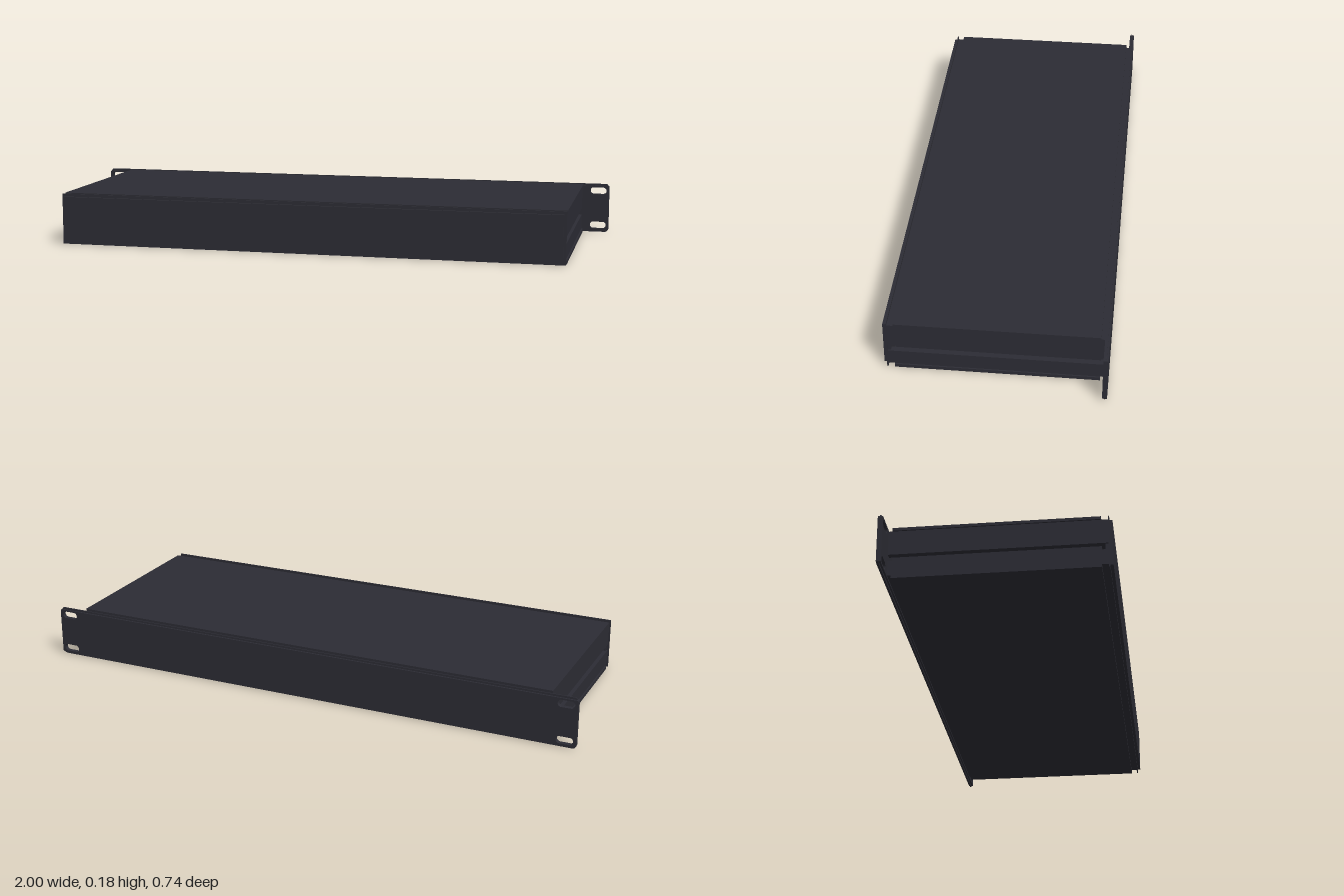
import * as THREE from 'three';

export function createModel() {
  const model = new THREE.Group();
  model.name = 'rackEnclosure';
  const metal = new THREE.MeshStandardMaterial({ color: 0x2c2c34 });
  metal.name = 'dark grey metal';

  function add(name, geometry) {
    const mesh = new THREE.Mesh(geometry, metal);
    mesh.name = name;
    model.add(mesh);
    return mesh;
  }

  // Box given by its extents on each axis
  function box(name, [x0, x1], [y0, y1], [z0, z1]) {
    add(name, new THREE.BoxGeometry(x1 - x0, y1 - y0, z1 - z0))
      .position.set((x0 + x1) / 2, (y0 + y1) / 2, (z0 + z1) / 2);
  }

  // Rounded rectangle outline, used for plates and mounting slots
  function roundedRect(path, x0, x1, y0, y1, r) {
    path.moveTo(x0 + r, y0);
    path.lineTo(x1 - r, y0);
    path.absarc(x1 - r, y0 + r, r, -Math.PI / 2, 0);
    path.lineTo(x1, y1 - r);
    path.absarc(x1 - r, y1 - r, r, 0, Math.PI / 2);
    path.lineTo(x0 + r, y1);
    path.absarc(x0 + r, y1 - r, r, Math.PI / 2, Math.PI);
    path.lineTo(x0, y0 + r);
    path.absarc(x0 + r, y0 + r, r, Math.PI, Math.PI * 1.5);
    return path;
  }

  // Rack panel with two slots in each ear
  function rackPanel(name, halfWidth, y0, y1, z0, z1, r) {
    const shape = roundedRect(new THREE.Shape(), -halfWidth, halfWidth, y0, y1, r);
    for (const side of [-1, 1]) {
      for (const y of [0.026, 0.157]) {
        const x = side * 0.96;
        shape.holes.push(roundedRect(new THREE.Path(), x - 0.03, x + 0.03, y - 0.013, y + 0.013, 0.0125));
      }
    }
    const geometry = new THREE.ExtrudeGeometry(shape, { depth: z1 - z0, bevelEnabled: false, curveSegments: 8 });
    add(name, geometry).position.z = z0;
  }

  // Top and bottom covers
  box('topCover', [-0.905, 0.905], [0.173, 0.183], [-0.341, 0.333]);
  box('bottomCover', [-0.905, 0.905], [0, 0.012], [-0.341, 0.333]);

  // Side profiles: two rails with a recessed groove between them
  for (const s of [-1, 1]) {
    const span = (a, b) => (s > 0 ? [a, b] : [-b, -a]);
    box('upperSideRail', span(0.88, 0.9), [0.088, 0.173], [-0.353, 0.357]);
    box('lowerSideRail', span(0.88, 0.9), [0.012, 0.065], [-0.353, 0.357]);
    box('sideGroove', span(0.87, 0.88), [0.055, 0.098], [-0.341, 0.333]);
  }

  // Flanges that close the gap between the covers and the end panels
  for (const z of [[0.325, 0.35], [-0.355, -0.333]]) {
    box('upperFlange', [-0.895, 0.895], [0.163, 0.173], z);
    box('lowerFlange', [-0.895, 0.895], [0.012, 0.022], z);
  }

  // Closed panel with a thin lip around it
  box('closedPanel', [-0.895, 0.895], [0.012, 0.173], [0.345, 0.369]);
  box('closedPanelLip', [-0.905, 0.905], [0, 0.183], [0.355, 0.359]);

  // Rack panel with ears, and its thin full-height lip
  rackPanel('rackPanel', 1, 0.007, 0.176, -0.369, -0.353, 0.006);
  rackPanel('rackPanelLip', 0.997, 0, 0.183, -0.363, -0.359, 0.01);

  return model;
}
